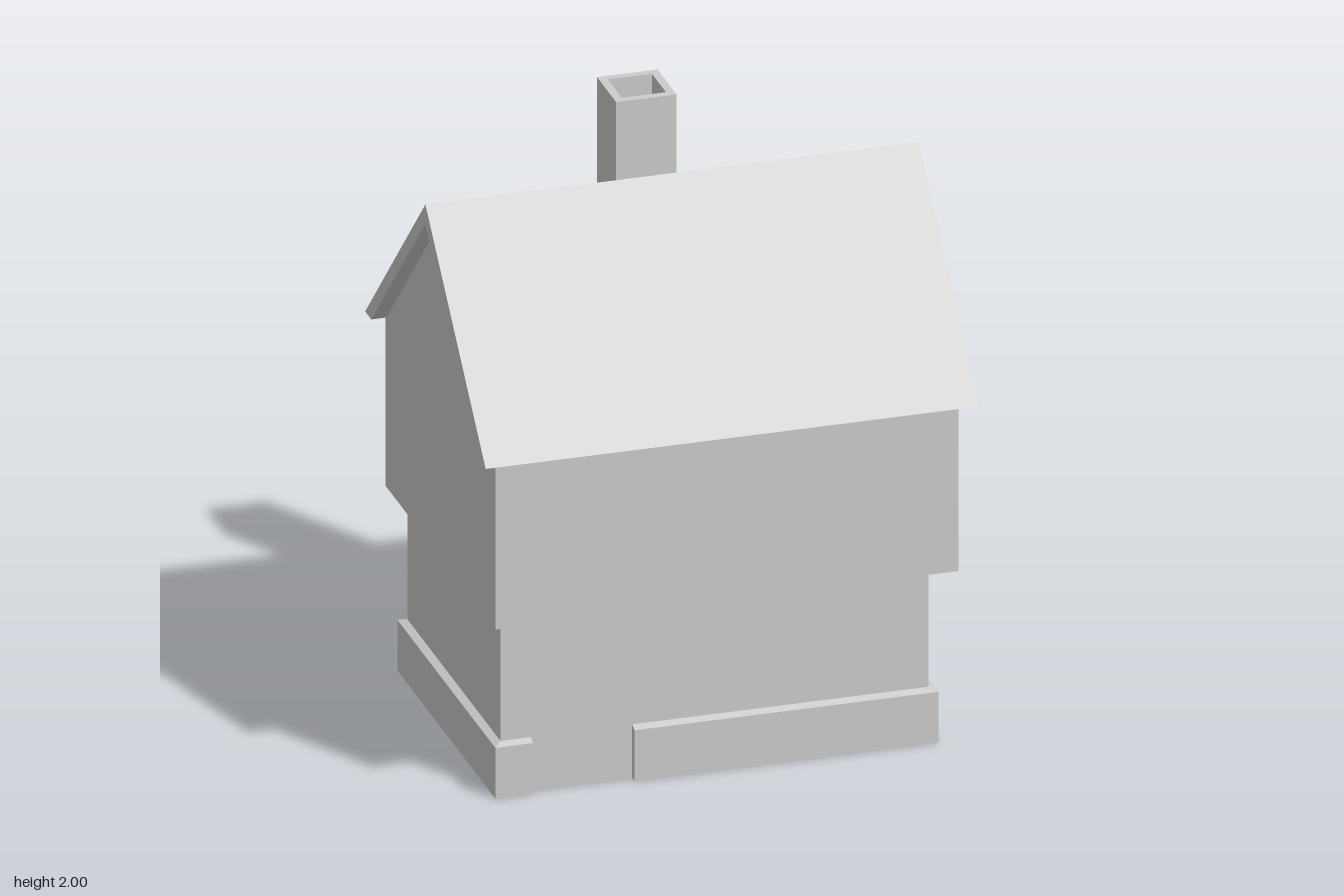
import * as THREE from 'three';

const T = 0.025; // shell thickness
const grey = new THREE.MeshStandardMaterial({ color: 0xcccccc });
grey.name = 'plain grey';

function mesh(name, geometry) {
  const m = new THREE.Mesh(geometry, grey);
  m.name = name;
  return m;
}

// Closed outline from points
const outline = (pts) => new THREE.Shape(pts.map(([a, b]) => new THREE.Vector2(a, b)));

// Plan rectangle (x, z) grown by g; shape y is -z
const rect = ({ x0, x1, z0, z1 }, g = 0) => [
  [x0 - g, -z1 - g], [x1 + g, -z1 - g], [x1 + g, -z0 + g], [x0 - g, -z0 + g],
];

// Extrude a plan shape upwards from y0 to y1
function rise(shape, y0, y1) {
  return new THREE.ExtrudeGeometry(shape, { depth: y1 - y0, bevelEnabled: false })
    .rotateX(-Math.PI / 2).translate(0, y0, 0);
}

// Rectangular tube between two plan rectangles
function ring(outer, inner, y0, y1) {
  const s = outline(outer);
  s.holes.push(outline(inner));
  return rise(s, y0, y1);
}

// Extrude a side profile (z, y) along x, centred on cx
function across(pts, width, cx = 0) {
  return new THREE.ExtrudeGeometry(outline(pts), { depth: width, bevelEnabled: false })
    .translate(0, 0, -width / 2).rotateY(Math.PI / 2).translate(cx, 0, 0);
}

// Move every vertex height by a rule
function reshape(geometry, rule) {
  const p = geometry.attributes.position;
  for (let i = 0; i < p.count; i++) p.setY(i, rule(p.getX(i), p.getY(i), p.getZ(i)));
  geometry.computeVertexNormals();
  return geometry;
}

export function createModel() {
  const house = new THREE.Group();
  house.name = 'house';

  const lower = { x0: -0.71, x1: 0.705, z0: -0.53, z1: 0.46 };
  const upper = { x0: -0.765, x1: 0.765, z0: -0.585, z1: 0.585 };
  const gapL = -0.61, gapR = -0.275;

  // Plinth band, left open at the doorway, with a sloping top
  const [a, b, c, d] = rect(lower, T);
  const [e, f, g, h] = rect(lower);
  const band = outline([
    [gapR, a[1]], b, c, d, a, [gapL, a[1]], [gapL, e[1]], e, h, g, f, [gapR, e[1]],
  ]);
  const onEdge = (x, z) =>
    x < lower.x0 - 0.01 || x > lower.x1 + 0.01 || z < lower.z0 - 0.01 || z > lower.z1 + 0.01;
  house.add(mesh('plinth', reshape(rise(band, 0, 0.185),
    (x, y, z) => (y > 0.1 && onEdge(x, z) ? 0.175 : y))));

  // Lower storey: hollow walls resting on the plinth, full height at the doorway
  house.add(mesh('lowerWalls', ring(rect(lower), rect(lower, -T), 0.165, 0.63)));
  const door = new THREE.BoxGeometry(gapR - gapL, 0.165, T);
  door.translate((gapL + gapR) / 2, 0.0825, lower.z1 - T / 2);
  house.add(mesh('doorwayPanel', door));

  // Upper storey: overhanging floor rim, hollow walls and gables
  house.add(mesh('overhangFloor', ring(rect(upper), rect(lower, -T), 0.63, 0.63 + T)));
  house.add(mesh('upperWalls', ring(rect(upper), rect(upper, -T), 0.63 + T, 1.215)));
  for (const side of [-1, 1]) {
    house.add(mesh(side > 0 ? 'leftGable' : 'rightGable',
      across([[-0.575, 1.215], [0.575, 1.215], [0, 1.79]], T, side * (upper.x1 - T / 2))));
  }

  // Pitched roof slab with level-cut eaves
  house.add(mesh('roof', across([
    [-0.64, 1.215], [-0.575, 1.215], [0, 1.79], [0.575, 1.215], [0.64, 1.215], [0, 1.857],
  ], 1.63)));

  // Hollow chimney whose foot follows the back slope
  const stack = { x0: -0.1, x1: 0.1, z0: -0.475, z1: -0.272 };
  house.add(mesh('chimney', reshape(ring(rect(stack), rect(stack, -0.027), 1.3, 2),
    (x, y, z) => (y > 1.9 ? y : 1.83 + z))));
  house.add(mesh('flueFloor', rise(outline(rect(stack, -0.026)), 1.57, 1.58)));

  return house;
}
